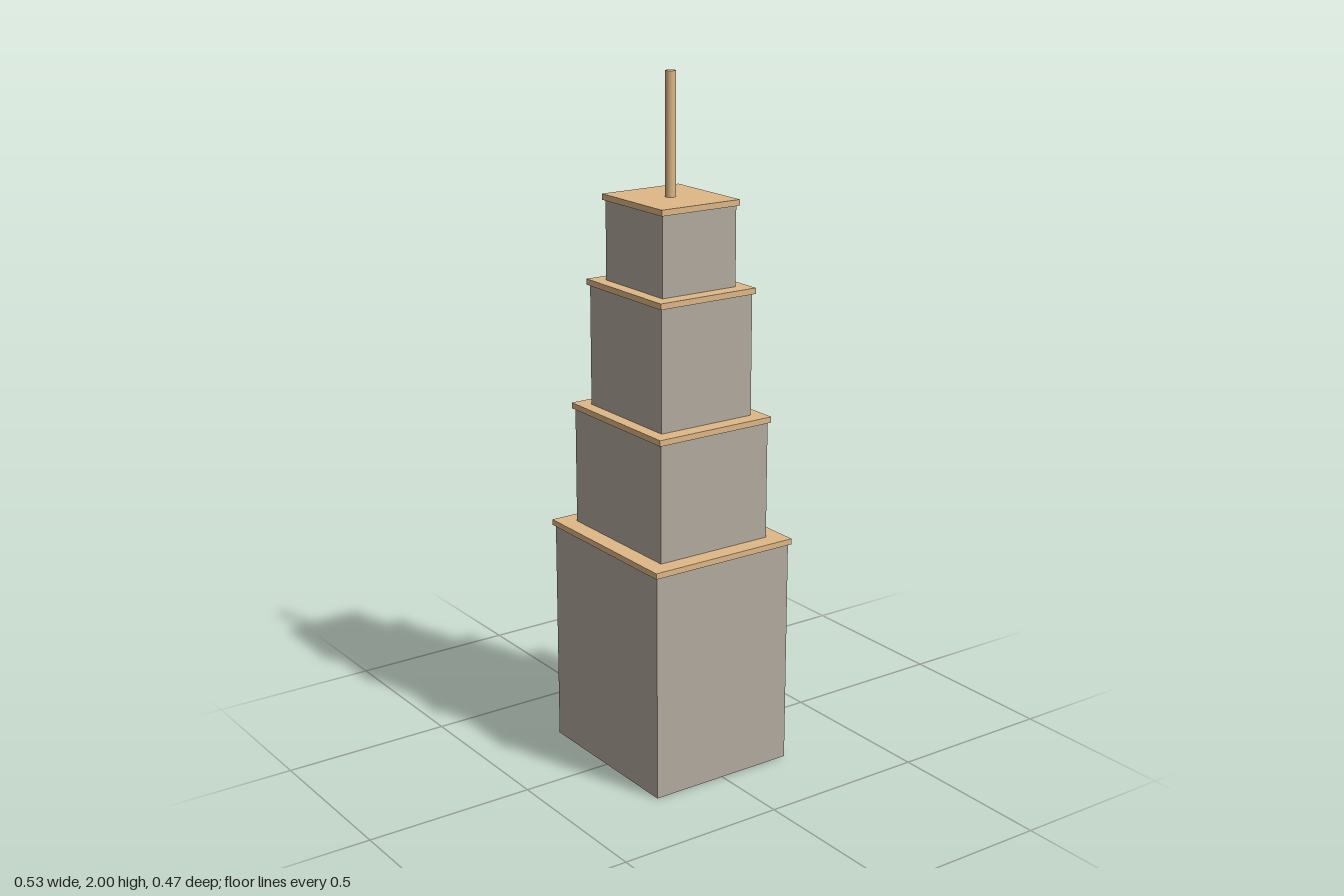
import * as THREE from 'three';

export function createModel() {
  const tower = new THREE.Group();
  tower.name = 'tower';
  const stone = new THREE.MeshStandardMaterial({ color: 0xb2aa9e });
  const trim = new THREE.MeshStandardMaterial({ color: 0xdeb887 });

  // Adds a centred block standing between two heights
  const addBlock = (name, width, depth, bottom, top, material) => {
    const mesh = new THREE.Mesh(new THREE.BoxGeometry(width, top - bottom, depth), material);
    mesh.position.y = (bottom + top) / 2;
    mesh.name = name;
    tower.add(mesh);
  };

  // Stepped tiers, each a wall block under a slightly wider ledge
  const ledge = 0.017;
  const overhang = 0.007;
  const tiers = [
    { width: 0.53, depth: 0.47, top: 0.685 },
    { width: 0.44, depth: 0.38, top: 1.045 },
    { width: 0.362, depth: 0.32, top: 1.412 },
    { width: 0.288, depth: 0.26, top: 1.656 },
  ];
  let base = 0;
  tiers.forEach(({ width, depth, top }, i) => {
    addBlock(`tierWall${i + 1}`, width - 2 * overhang, depth - 2 * overhang, base, top - ledge, stone);
    addBlock(`tierLedge${i + 1}`, width, depth, top - ledge, top, trim);
    base = top;
  });

  // Mast on the roof
  const mast = new THREE.Mesh(new THREE.CylinderGeometry(0.015, 0.015, 2 - base, 24), trim);
  mast.position.y = (2 + base) / 2;
  mast.name = 'mast';
  tower.add(mast);

  return tower;
}
